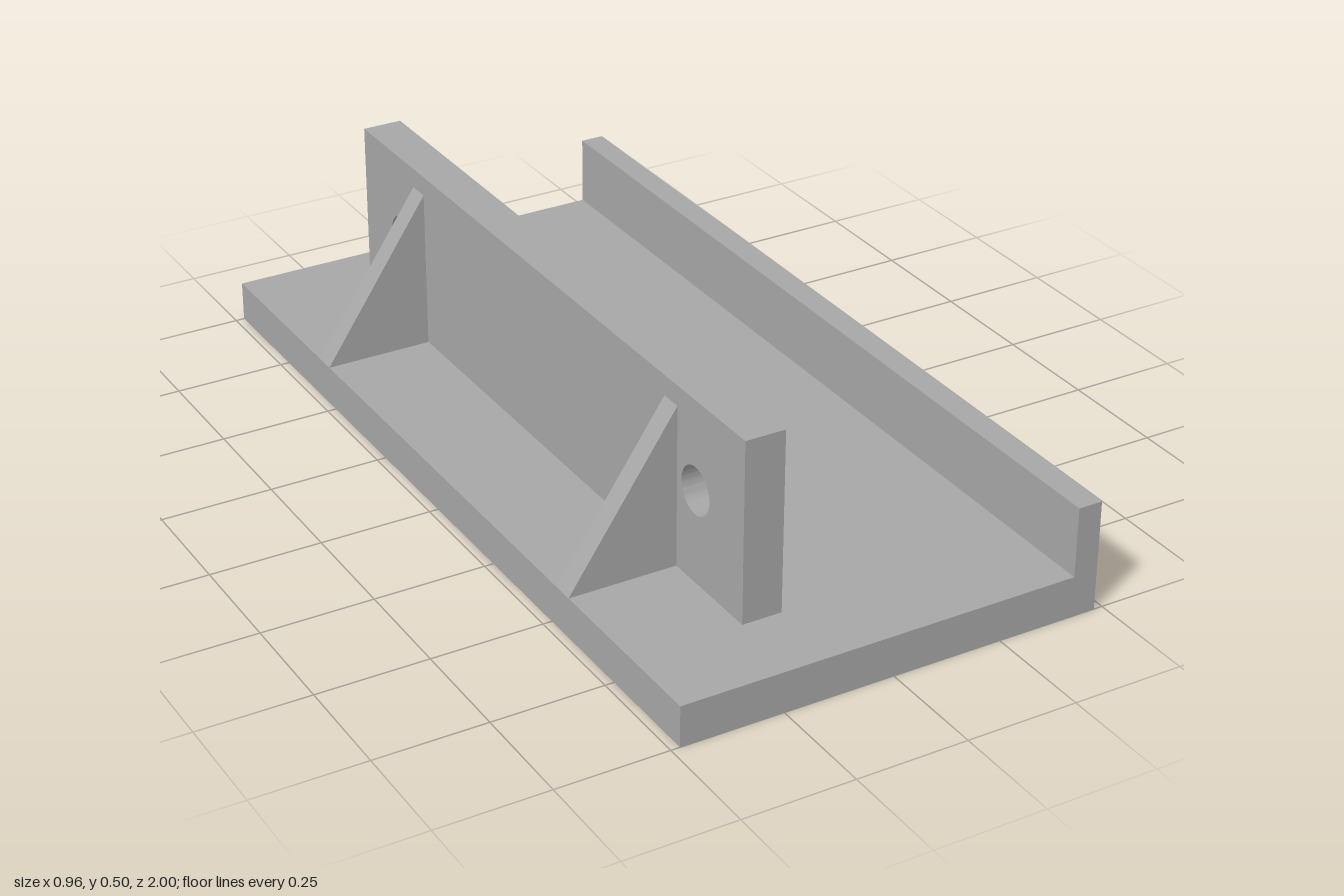
import * as THREE from 'three';
import { toCreasedNormals } from 'three/addons/utils/BufferGeometryUtils.js';

const BASE_TOP = 0.092;

// Closed outline from corner pairs
const outline = (pts, Type = THREE.Shape) => new Type(pts.map(([x, y]) => new THREE.Vector2(x, y)));
const rect = (x0, y0, x1, y1, Type) => outline([[x0, y0], [x1, y0], [x1, y1], [x0, y1]], Type);

function extrude(shape, depth) {
  return new THREE.ExtrudeGeometry(shape, { depth, bevelEnabled: false, curveSegments: 32 });
}

export function createModel() {
  const group = new THREE.Group();
  const grey = new THREE.MeshStandardMaterial({ color: 0xa6a6a6 });
  grey.name = 'grey';

  function add(name, geometry) {
    const mesh = new THREE.Mesh(geometry, grey);
    mesh.name = name;
    group.add(mesh);
  }

  // Base plate with a square through-hole
  const plate = rect(-0.48, -1, 0.48, 1);
  plate.holes.push(rect(-0.09, -0.405, 0.08, -0.24, THREE.Path));
  add('basePlate', extrude(plate, BASE_TOP).rotateX(-Math.PI / 2));

  // Low lip along the left edge
  const lipHeight = 0.25 - BASE_TOP;
  add('edgeLip', new THREE.BoxGeometry(0.055, lipHeight, 2)
    .translate(0.4525, BASE_TOP + lipHeight / 2, 0));

  // Upright wall with two round bolt holes, drawn in z-y and turned to face x
  const wall = rect(-0.82, BASE_TOP, 0.82, 0.5);
  for (const z of [-0.64, 0.64]) {
    wall.holes.push(new THREE.Path().absarc(z, 0.3, 0.053, 0, Math.PI * 2, true));
  }
  const wallGeometry = extrude(wall, 0.09).rotateY(-Math.PI / 2).translate(-0.145, 0, 0);
  add('uprightWall', toCreasedNormals(wallGeometry, Math.PI / 6));

  // Triangular gussets bracing the wall
  const gusset = outline([[-0.48, BASE_TOP], [-0.235, BASE_TOP], [-0.235, 0.455]]);
  for (const [name, z] of [['frontGusset', 0.545], ['backGusset', -0.55]]) {
    add(name, extrude(gusset, 0.05).translate(0, 0, z - 0.025));
  }

  return group;
}
